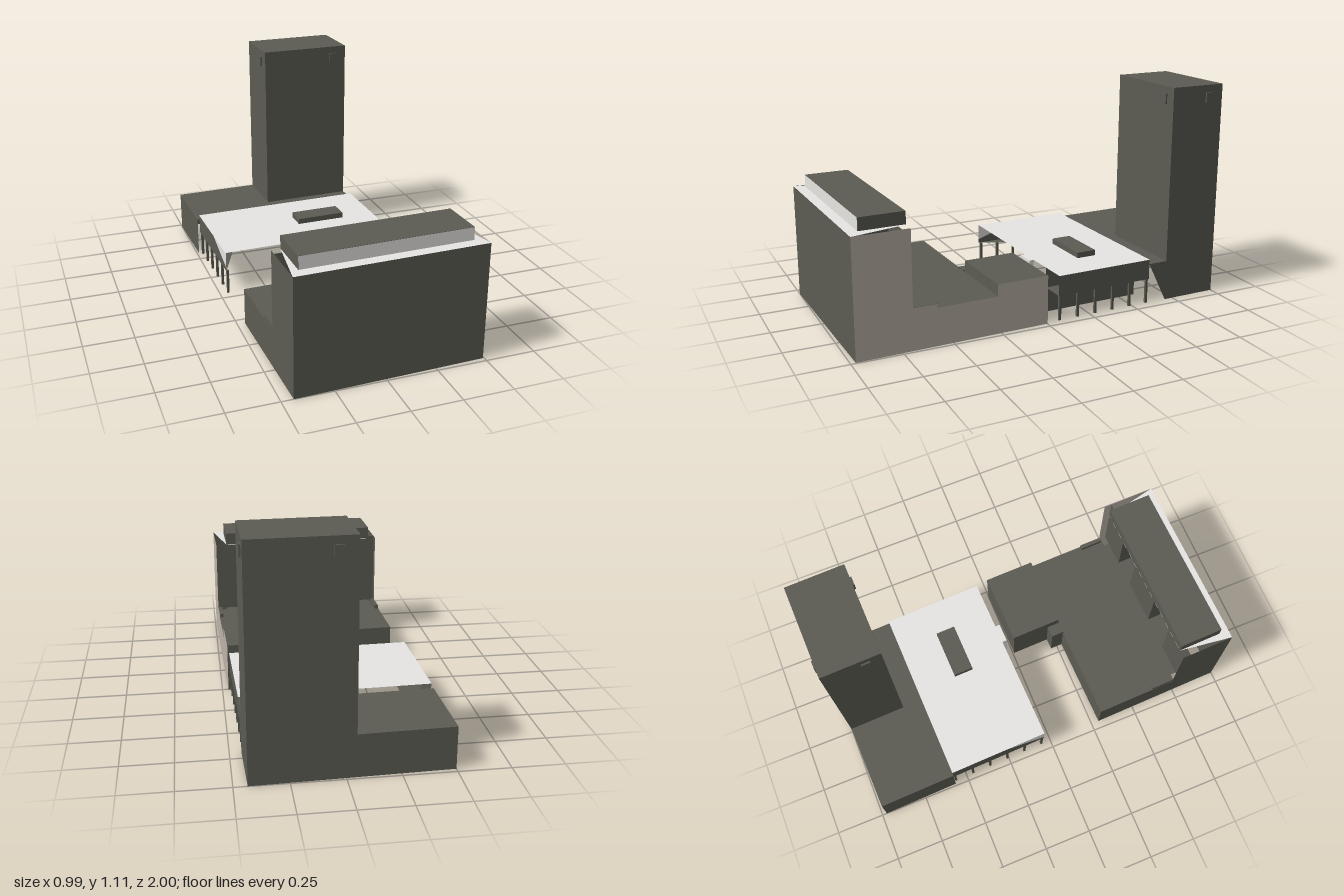
import * as THREE from 'three';

const material = (name, color) => {
  const m = new THREE.MeshStandardMaterial({ color, side: THREE.DoubleSide });
  m.name = name;
  return m;
};

export function createModel() {
  const model = new THREE.Group();
  model.name = 'buildingComplex';
  const site = new THREE.Group();
  site.name = 'site';
  site.rotation.y = 0.0265;
  model.add(site);

  const dark = material('darkCladding', 0x5c5c54);
  const light = material('lightRoofing', 0xf2f1ee);
  const beige = material('beigeWall', 0xbfb4a9);

  // Open surfaces made of convex polygons, each a list of [x, y, z] corners
  const faces = (name, mat, polygons) => {
    const pos = [];
    for (const p of polygons)
      for (let i = 1; i < p.length - 1; i++) pos.push(...p[0], ...p[i], ...p[i + 1]);
    const g = new THREE.BufferGeometry();
    g.setAttribute('position', new THREE.Float32BufferAttribute(pos, 3));
    g.computeVertexNormals();
    const m = new THREE.Mesh(g, mat);
    m.name = name;
    site.add(m);
  };
  const box = (name, mat, x0, x1, y0, y1, z0, z1) => {
    const m = new THREE.Mesh(new THREE.BoxGeometry(x1 - x0, y1 - y0, z1 - z0), mat);
    m.position.set((x0 + x1) / 2, (y0 + y1) / 2, (z0 + z1) / 2);
    m.name = name;
    site.add(m);
  };
  // Upright and level rectangles, wound to face +x, +z and +y
  const wallX = (x, y0, y1, z0, z1) => [[x, y0, z1], [x, y0, z0], [x, y1, z0], [x, y1, z1]];
  const wallZ = (z, x0, x1, y0, y1) => [[x0, y0, z], [x1, y0, z], [x1, y1, z], [x0, y1, z]];
  const deck = (y, x0, x1, z0, z1) => [[x0, y, z1], [x1, y, z1], [x1, y, z0], [x0, y, z0]];
  const back = p => p.slice().reverse();

  const W = 0.468;

  // Front hall: tall front wall, stepped side walls, low deck
  faces('hallFrontWall', dark, [wallZ(0.988, -W, W, 0, 0.59)]);
  faces('hallBeigeSide', beige, [
    wallX(W, 0, 0.59, 0.71, 0.988), wallX(W, 0, 0.21, 0.59, 0.71),
    wallX(W, 0, 0.19, 0.28, 0.59), wallX(W, 0, 0.25, 0.01, 0.28),
  ]);
  faces('hallDarkSide', dark, [
    back(wallX(-W, 0, 0.59, 0.71, 0.988)), back(wallX(-W, 0, 0.19, 0.28, 0.71)),
  ]);
  faces('hallLowDeck', dark, [
    deck(0.19, -W, W, 0.28, 0.72),
    deck(0.19, -0.43, 0.42, 0.72, 0.87),
    back(wallZ(0.28, -W, 0.09, 0, 0.19)),
  ]);
  for (const s of [-1, 1])
    box('deckLedge', dark, s * 0.456 - 0.01, s * 0.456 + 0.01, 0.19, 0.21, 0.59, 0.71);

  // Inner back wall: three projecting bays with recesses between them
  const bays = [[-W, -0.265], [-0.09, 0.145], [0.29, W]];
  const bayFaces = [];
  for (const [x0, x1] of bays) {
    bayFaces.push(back(wallZ(0.75, x0, x1, 0.19, 0.59)));
    if (x0 > -W) bayFaces.push(back(wallX(x0, 0.19, 0.59, 0.75, 0.87)));
    if (x1 < W) bayFaces.push(wallX(x1, 0.19, 0.59, 0.75, 0.87));
  }
  bayFaces.push(back(wallZ(0.87, -0.265, -0.09, 0.19, 0.59)));
  bayFaces.push(back(wallZ(0.87, 0.145, 0.29, 0.19, 0.59)));
  faces('hallInnerBays', dark, bayFaces);

  // Tapered hall roof and the raised block on it
  faces('hallRoof', light, [[[-W, 0.59, 0.988], [W, 0.59, 0.988], [0.41, 0.59, 0.71], [-0.425, 0.59, 0.71]]]);
  box('hallRoofBlock', dark, -0.425, 0.41, 0.592, 0.655, 0.71, 0.935);
  faces('hallRoofBlockFront', light, [wallZ(0.937, -0.425, 0.41, 0.592, 0.655)]);

  // Low annex towards the court
  faces('annex', dark, [
    deck(0.25, 0.09, W, 0.01, 0.28),
    back(wallZ(0.01, 0.09, W, 0, 0.25)),
    back(wallX(0.09, 0, 0.25, 0.01, 0.28)),
    wallZ(0.28, 0.09, W, 0.19, 0.25),
  ]);
  faces('annexStep', dark, [
    deck(0.2, 0.03, 0.09, 0.215, 0.29),
    back(wallZ(0.215, 0.03, 0.09, 0, 0.2)),
    back(wallX(0.03, 0, 0.2, 0.215, 0.29)),
  ]);

  // Middle pavilion: light roof, hanging walls, canopies on thin columns
  faces('pavilionRoof', light, [deck(0.235, -0.464, 0.464, -0.585, -0.055)]);
  box('pavilionRoofBox', dark, 0.02, 0.28, 0.236, 0.265, -0.37, -0.267);
  faces('pavilionPorch', light, [
    deck(0.235, 0.1, 0.2, -0.055, -0.03),
    wallZ(-0.03, 0.1, 0.2, 0, 0.235),
    wallX(0.2, 0, 0.235, -0.055, -0.03),
    back(wallX(0.1, 0, 0.235, -0.055, -0.03)),
  ]);
  faces('pavilionPartition', light, [wallZ(-0.31, -0.3, 0.32, 0.11, 0.234)]);
  faces('pavilionInnerWall', dark, [wallX(0.33, 0, 0.234, -0.585, -0.055)]);
  faces('rightFascia', dark, [wallX(0.462, 0.13, 0.234, -0.585, -0.055)]);
  faces('rightSoffit', dark, [deck(0.13, 0.33, 0.462, -0.585, -0.055)]);
  faces('leftFascia', dark, [
    [[-0.462, 0.13, -0.585], [-0.462, 0.13, -0.055], [-0.462, 0.15, -0.055], [-0.462, 0.234, -0.3], [-0.462, 0.234, -0.585]],
  ]);
  faces('leftFasciaEnd', light, [[[-0.462, 0.15, -0.055], [-0.462, 0.234, -0.055], [-0.462, 0.234, -0.3]]]);
  faces('leftSoffit', dark, [[[-0.462, 0.13, -0.055], [-0.35, 0.13, -0.3], [-0.35, 0.13, -0.5], [-0.462, 0.13, -0.585]]]);
  for (const x of [-0.453, 0.453])
    for (let i = 0; i < 6; i++) {
      const z = -0.065 - i * 0.102;
      box('column', dark, x - 0.006, x + 0.006, 0, 0.13, z - 0.006, z + 0.006);
    }

  // Rear block, open below and towards the pavilion
  faces('rearBlock', dark, [
    deck(0.21, -0.474, 0.462, -0.988, -0.585),
    back(wallZ(-0.988, -0.474, 0.462, 0, 0.21)),
    back(wallX(-0.474, 0, 0.21, -0.988, -0.585)),
    [[0.462, 0, -0.69], [0.462, 0, -0.988], [0.462, 0.21, -0.988], [0.462, 0.21, -0.585]],
  ]);

  // Tower with a small vent on each side
  box('tower', dark, -0.02, 0.462, 0.21, 1.11, -0.988, -0.69);
  box('frontVent', dark, 0.363, 0.407, 1.02, 1.073, -0.69, -0.682);
  box('backVent', dark, 0.043, 0.087, 1.02, 1.073, -0.996, -0.988);
  box('leftVent', dark, 0.462, 0.47, 1.02, 1.073, -0.93, -0.886);
  box('rightVent', dark, -0.028, -0.02, 1.02, 1.073, -0.795, -0.75);

  return model;
}
